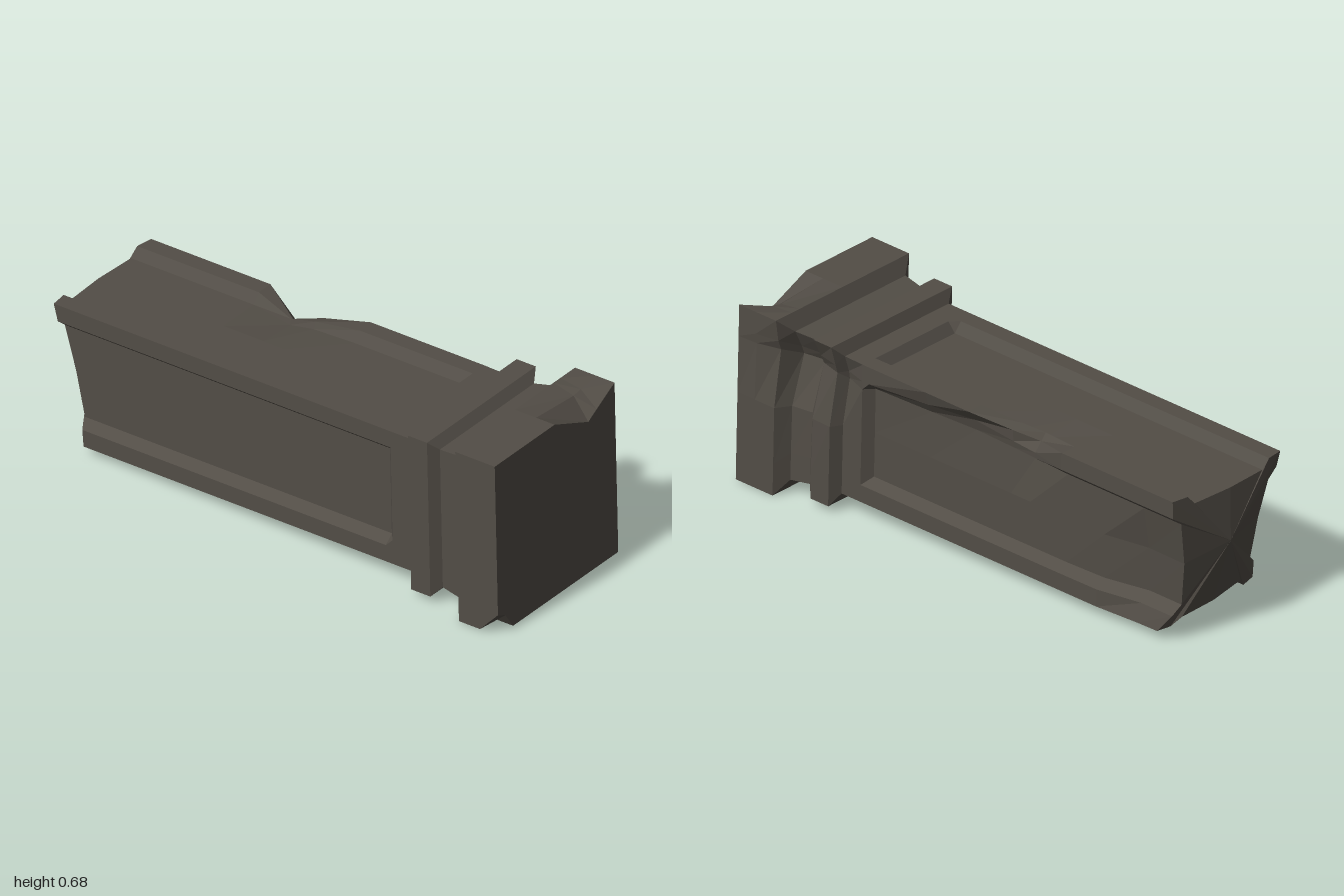
import * as THREE from 'three';

const TILT = 0.0235;          // the fallen pillar leans slightly upwards towards its plinth
const H = 0.265;              // half width of the shaft

// Piecewise linear lookup in [key, value] pairs with rising keys
function lerpTable(table, k) {
  if (k <= table[0][0]) return table[0][1];
  for (let i = 1; i < table.length; i++) {
    const [a, va] = table[i - 1], [b, vb] = table[i];
    if (k <= b) return va + (vb - va) * (k - a) / (b - a);
  }
  return table[table.length - 1][1];
}

// Ragged broken end: where the shaft stops, by height v and depth w
const FRONT_BREAK = [[-0.265, -0.84], [-0.1, -0.85], [0.22, -0.945], [0.265, -0.955]];
const BACK_BREAK = [[-0.265, -0.87], [-0.2, -0.92], [0.1, -0.95], [0.265, -0.94]];
function breakX(v, w) {
  const s = THREE.MathUtils.clamp((w + H) / (2 * H), 0, 1);
  const arch = 0.03 * (1 - Math.pow(2 * s - 1, 2)) * (v > 0 ? 0.7 : 1);
  return lerpTable(BACK_BREAK, v) * (1 - s) + lerpTable(FRONT_BREAK, v) * s - arch;
}

// Chips and worn spots: centre, radii along u/v/w and the push (v, w)
const DENTS = [
  { c: [0.72, 0.15, -0.29], r: [0.24, 0.16, 0.15], push: [0, 0.09] },     // bite in the collar
  { c: [-0.26, 0.265, -0.265], r: [0.17, 0.13, 0.13], push: [-0.05, 0.085] }, // notch in the rim
  { c: [0.0, 0.2, -0.265], r: [0.4, 0.06, 0.08], push: [0.02, 0.035] },   // worn upper rim
  { c: [-0.85, -0.1, -0.25], r: [0.3, 0.2, 0.12], push: [0.01, 0.07] },   // eroded broken end
  { c: [0.99, 0.338, -0.22], r: [0.1, 0.1, 0.1], push: [-0.085, 0.03] },  // chip on the plinth top
];

function weather(p) {
  let [u, v, w] = p;
  for (const { c, r, push } of DENTS) {
    const d = Math.hypot((p[0] - c[0]) / r[0], (p[1] - c[1]) / r[1], (p[2] - c[2]) / r[2]);
    const f = Math.max(0, 1 - d);
    v += push[0] * f;
    w += push[1] * f;
  }
  // knocked-off lower front corner of the plinth
  if (u > 0.95 && v < -0.3 && w > 0.3) { v = -0.275; w = 0.297; }
  return [u, v, w];
}

// Tilt a local point (along, up, depth) into the model frame
function place([u, v, w]) {
  return [u - TILT * v, 0.335 + TILT * (u - 0.57) + v, w];
}

// One square ring with optional sunken panels on its four sides
function ring({ u, h, depth = 0, broken = false }) {
  const k = h / H, pts = [];
  const side = [[-H, 0], [-0.2, 0], [-0.17, 1], [0, 1], [0.17, 1], [0.2, 0]];
  for (let q = 0; q < 4; q++) {
    const co = Math.round(Math.cos(q * Math.PI / 2)), si = Math.round(Math.sin(q * Math.PI / 2));
    for (const [t0, sunk] of side) {
      const n = h - sunk * depth, t = t0 * k;
      const w = n * co - t * si, v = n * si + t * co;
      pts.push(place(weather([broken ? breakX(v, w) : u, v, w])));
    }
  }
  return pts;
}

// Skin a row of rings, with optional centre points that close the ends
function skin(stations, startCap, endCap) {
  const rings = stations.map(ring), n = rings[0].length;
  const pos = rings.flat(2), index = [];
  for (let i = 0; i < rings.length - 1; i++) {
    for (let j = 0; j < n; j++) {
      const a = i * n + j, b = i * n + (j + 1) % n;
      index.push(a, a + n, b + n, a, b + n, b);
    }
  }
  const cap = (centre, row, flip) => {
    const c = pos.length / 3;
    pos.push(...place(centre));
    for (let j = 0; j < n; j++) {
      const a = row * n + j, b = row * n + (j + 1) % n;
      index.push(c, flip ? b : a, flip ? a : b);
    }
  };
  if (startCap) cap(startCap, 0, false);
  if (endCap) cap(endCap, rings.length - 1, true);
  const geo = new THREE.BufferGeometry();
  geo.setAttribute('position', new THREE.Float32BufferAttribute(pos, 3));
  geo.setIndex(index);
  const flat = geo.toNonIndexed();
  flat.computeVertexNormals();
  return flat;
}

export function createModel() {
  const stone = new THREE.MeshStandardMaterial({ color: 0x524d46, flatShading: true });
  stone.name = 'darkStone';
  const group = new THREE.Group();
  group.name = 'brokenPillar';
  const add = (name, geometry) => {
    const mesh = new THREE.Mesh(geometry, stone);
    mesh.name = name;
    group.add(mesh);
  };

  // Shaft with sunken panels that run out through the broken end
  const panel = 0.035;
  const shaft = [{ u: -0.95, h: H, depth: panel, broken: true }];
  for (const u of [-0.78, -0.6, -0.43, -0.26, -0.17, 0, 0.2, 0.455]) {
    shaft.push({ u, h: H, depth: panel });
  }
  shaft.push({ u: 0.485, h: H }, { u: 0.57, h: H });
  add('shaft', skin(shaft, [-1, 0.05, -0.03], null));

  // Raised moulding and the neck behind it
  add('collar', skin([
    { u: 0.57, h: H }, { u: 0.593, h: 0.307 }, { u: 0.675, h: 0.307 },
    { u: 0.705, h: 0.275 }, { u: 0.787, h: 0.285 },
  ]));

  // Square plinth
  add('plinth', skin([
    { u: 0.787, h: 0.285 }, { u: 0.82, h: 0.338 }, { u: 0.91, h: 0.338 }, { u: 0.989, h: 0.338 },
  ], null, [0.989, 0, 0]));

  return group;
}
